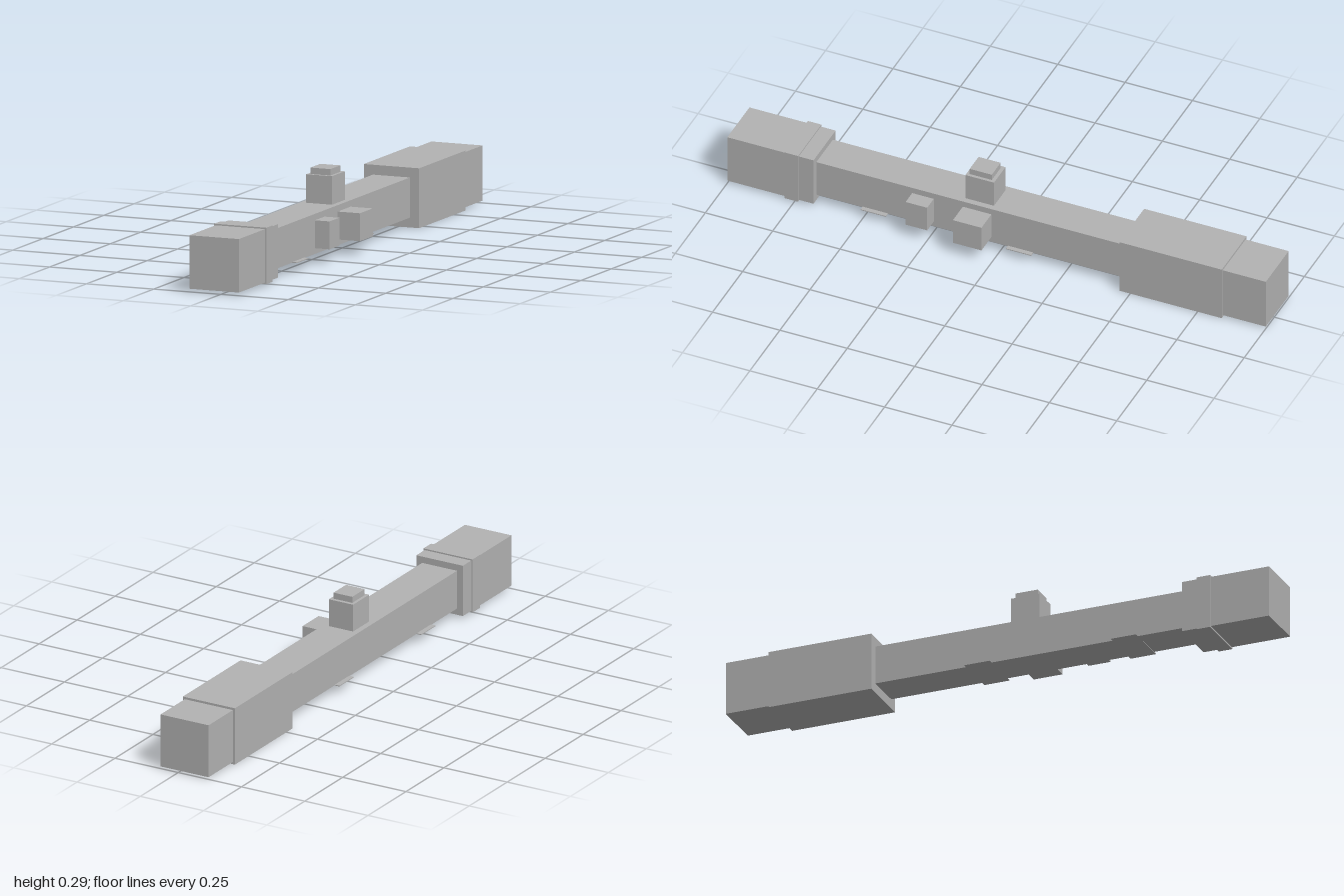
import * as THREE from 'three';

export function createModel() {
  const model = new THREE.Group();
  const grey = new THREE.MeshStandardMaterial({ color: 0xb2b2b2 });
  grey.name = 'grey';

  // Adds a box spanning the given ranges
  function block(name, [x0, x1], [y0, y1], [z0, z1]) {
    const mesh = new THREE.Mesh(new THREE.BoxGeometry(x1 - x0, y1 - y0, z1 - z0), grey);
    mesh.name = name;
    mesh.position.set((x0 + x1) / 2, (y0 + y1) / 2, (z0 + z1) / 2);
    model.add(mesh);
  }

  // Square sections along the optical axis: name, half width, z range
  const axisX = -0.025, axisY = 0.104;
  const sections = [
    ['mainTube', 0.069, -0.46, 0.68],
    ['objectiveCollar', 0.092, 0.68, 0.735],
    ['objectiveRing', 0.097, 0.735, 0.785],
    ['objectiveBell', 0.092, 0.785, 1],
    ['eyepieceBody', 0.103, -0.84, -0.46],
    ['eyepieceEnd', 0.095, -1, -0.84],
  ];
  for (const [name, h, z0, z1] of sections) {
    block(name, [axisX - h, axisX + h], [axisY - h, axisY + h], [z0, z1]);
  }

  // Adjustment turret with its cap
  block('topTurret', [-0.073, 0.023], [0.17, 0.271], [0.03, 0.136]);
  block('topTurretCap', [-0.062, 0.012], [0.271, 0.293], [0.043, 0.125]);

  // Side knobs
  block('sideTurret', [0.04, 0.127], [0.055, 0.151], [0.03, 0.136]);
  block('sideKnob', [0.04, 0.099], [0.055, 0.151], [0.244, 0.324]);

  // Thin mounting plates under the tube
  for (const z of [-0.078, 0.461]) {
    block('mountPlate', [-0.112, 0.061], [0.034, 0.037], [z - 0.047, z + 0.047]);
  }
  return model;
}
